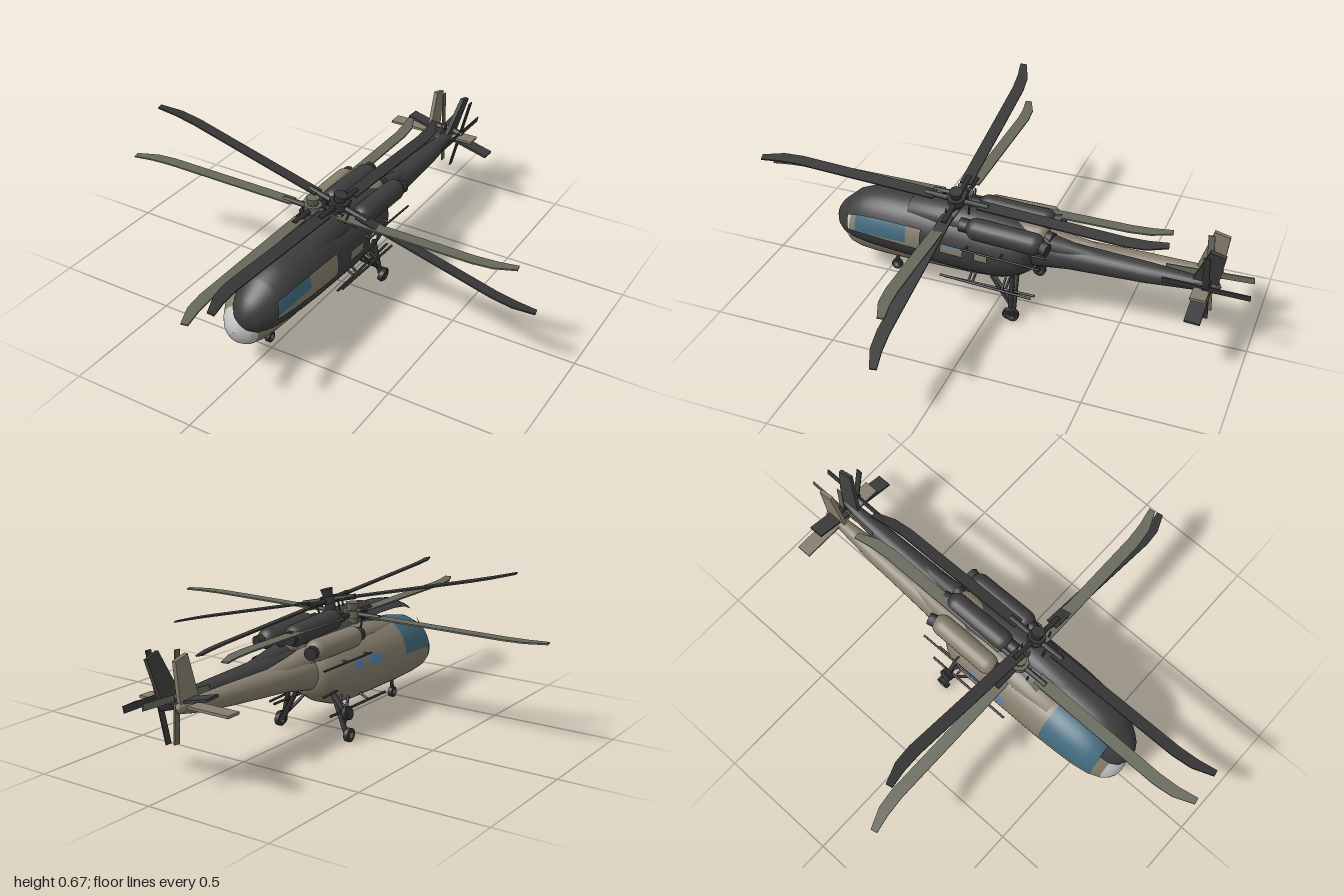
import * as THREE from 'three';

const mat = (name, color, side = THREE.FrontSide) =>
  Object.assign(new THREE.MeshStandardMaterial({ color, side }), { name });
const V = (x, y, z) => new THREE.Vector3(x, y, z);

function add(parent, name, geometry, material, x = 0, y = 0, z = 0) {
  const m = new THREE.Mesh(geometry, material);
  m.name = name;
  m.position.set(x, y, z);
  parent.add(m);
  return m;
}

// Round bar between two points
function rod(parent, name, a, b, r, material, r2 = r) {
  const d = b.clone().sub(a);
  const m = add(parent, name, new THREE.CylinderGeometry(r2, r, d.length(), 10), material);
  m.position.copy(a).addScaledVector(d, 0.5);
  m.quaternion.setFromUnitVectors(V(0, 1, 0), d.normalize());
}

// Skin through elliptical sections [z, centre y, half width, half height], front to back.
// pick(z, degrees) gives a material index per cell, or -1 for an opening.
function loft(sections, cuts, pick, count, seg = 48) {
  const zs = [...new Set([...sections.map(s => s[0]), ...cuts])].sort((a, b) => b - a);
  const pos = [], buckets = Array.from({ length: count }, () => []);
  for (const z of zs) {
    let k = 0;
    while (k < sections.length - 2 && sections[k + 1][0] > z) k++;
    const p = sections[k], q = sections[k + 1], t = (z - p[0]) / (q[0] - p[0]);
    const [cy, rx, ry] = [1, 2, 3].map(i => p[i] + (q[i] - p[i]) * t);
    for (let j = 0; j < seg; j++) {
      const a = j / seg * Math.PI * 2;
      pos.push(rx * Math.cos(a), cy + ry * Math.sin(a), z);
    }
  }
  for (let i = 0; i < zs.length - 1; i++) for (let j = 0; j < seg; j++) {
    const g = pick((zs[i] + zs[i + 1]) / 2, (j + 0.5) / seg * 360);
    if (g < 0) continue;
    const n = (j + 1) % seg, a = i * seg + j, b = i * seg + n, c = a + seg, d = b + seg;
    buckets[g].push(a, c, b, b, c, d);
  }
  const geo = new THREE.BufferGeometry();
  geo.setAttribute('position', new THREE.Float32BufferAttribute(pos, 3));
  geo.setIndex(buckets.flat());
  let start = 0;
  buckets.forEach((b, i) => { geo.addGroup(start, b.length, i); start += b.length; });
  geo.computeVertexNormals();
  return geo;
}

// Thin plate from an outline
function plate(points, depth) {
  const s = new THREE.Shape(points.map(p => new THREE.Vector2(...p)));
  return new THREE.ExtrudeGeometry(s, { depth, bevelEnabled: false }).translate(0, 0, -depth / 2);
}

function helicopter(c, open) {
  const g = new THREE.Group();

  // Cabin: windscreen, side windows and nose cap are cells of the skin
  const hull = [
    [0.69, 0.183, 0.001, 0.001], [0.685, 0.183, 0.03, 0.032], [0.67, 0.184, 0.055, 0.058],
    [0.645, 0.187, 0.076, 0.08], [0.6, 0.205, 0.099, 0.108], [0.54, 0.218, 0.112, 0.126],
    [0.46, 0.225, 0.12, 0.135], [0.35, 0.23, 0.126, 0.14], [0.1, 0.231, 0.128, 0.139],
    [-0.02, 0.235, 0.126, 0.133], [-0.09, 0.245, 0.117, 0.117], [-0.13, 0.253, 0.1, 0.098],
    [-0.16, 0.26, 0.075, 0.075], [-0.175, 0.262, 0.001, 0.001]];
  const cuts = [0.66, 0.625, 0.61, 0.57, 0.5, 0.42, 0.37, 0.28, 0.19, 0.15, 0.05, 0];
  const pick = (z, deg) => {
    const side = deg > 180 ? -1 : Math.min(deg, 180 - deg);
    if (z > 0.645) return 2;
    if (open && z > 0.28 && z < 0.61 && side > 0 && side < 37) return -1;
    if (!open && z > 0.37 && z < 0.61 && side > 0) return 1;
    if (((z > 0.1 && z < 0.19) || (z > 0 && z < 0.05)) && side > 7 && side < 23) return open ? -1 : 3;
    return 0;
  };
  add(g, 'cabin', loft(hull, cuts, pick, 4), [c.hull, c.glass, c.nose, c.window]);

  // Tail boom
  const boom = [[0, 0.255, 0.08, 0.09], [-0.15, 0.262, 0.066, 0.074], [-0.3, 0.27, 0.052, 0.053],
    [-0.6, 0.288, 0.042, 0.04], [-0.8, 0.302, 0.026, 0.027], [-0.87, 0.308, 0.016, 0.018],
    [-0.88, 0.308, 0.001, 0.001]];
  add(g, 'tailBoom', loft(boom, [], () => 0, 1, 24), [c.hull]);

  // Roof fairing and engine pods
  const roof = [[0.36, 0.33, 0.001, 0.001], [0.35, 0.33, 0.068, 0.048], [0.2, 0.335, 0.072, 0.055],
    [0, 0.33, 0.07, 0.055], [-0.2, 0.305, 0.045, 0.045], [-0.4, 0.285, 0.025, 0.04]];
  add(g, 'roofFairing', loft(roof, [], () => 0, 1, 24), [c.hull]);
  for (const s of [-1, 1]) {
    const pod = new THREE.CapsuleGeometry(0.043, 0.23, 6, 20).rotateX(Math.PI / 2);
    add(g, 'enginePod', pod, c.hull, s * 0.066, 0.362, -0.06);
    rod(g, 'engineIntake', V(s * 0.06, 0.36, 0.08), V(s * 0.06, 0.36, 0.125), 0.028, c.metal);
    rod(g, 'engineExhaust', V(s * 0.066, 0.362, -0.18), V(s * 0.08, 0.362, -0.235), 0.026, c.metal);
  }

  // Main rotor: mast, hub and four blades with swept tips
  const rotor = new THREE.Group();
  rotor.name = 'mainRotor';
  rotor.position.set(0, 0.425, 0.16);
  g.add(rotor);
  rod(rotor, 'mast', V(0, -0.07, 0), V(0, 0.02, 0), 0.022, c.blade);
  rod(rotor, 'hub', V(0, -0.013, 0), V(0, 0.016, 0), 0.036, c.blade);
  rod(rotor, 'hubCap', V(0, 0.016, 0), V(0, 0.046, 0), 0.02, c.blade, 0.027);
  const outline = [[0.09, -0.024], [0.67, -0.024], [0.75, -0.014], [0.83, 0.02], [0.825, 0.046],
    [0.75, 0.031], [0.67, 0.024], [0.09, 0.024]];
  for (let i = 0; i < 4; i++) {
    const arm = new THREE.Group();
    arm.name = 'bladeArm';
    arm.rotation.y = i * Math.PI / 2;
    rotor.add(arm);
    add(arm, 'blade', plate(outline, 0.006).rotateX(-Math.PI / 2), c.blade);
    rod(arm, 'bladeGrip', V(0.02, 0, 0), V(0.13, 0, 0), 0.011, c.metal);
    rod(arm, 'pitchLink', V(0.055, -0.045, 0.02), V(0.06, 0, 0.02), 0.004, c.metal);
  }

  // Fin, stabiliser and tail rotor
  const fin = plate([[0.765, 0.3], [0.865, 0.3], [0.885, 0.475], [0.825, 0.49]], 0.016);
  add(g, 'tailFin', fin.rotateY(Math.PI / 2), c.hull);
  add(g, 'stabiliser', new THREE.BoxGeometry(0.39, 0.01, 0.06), c.hull, 0, 0.31, -0.82);
  const tail = new THREE.Group();
  tail.name = 'tailRotor';
  tail.position.set(0.042, 0.33, -0.83);
  g.add(tail);
  rod(tail, 'tailRotorShaft', V(-0.045, 0, 0), V(0.01, 0, 0), 0.014, c.metal);
  for (let i = 0; i < 4; i++) {
    const b = add(tail, 'tailBlade', new THREE.BoxGeometry(0.005, 0.15, 0.025).translate(0, 0.09, 0), c.blade);
    b.rotation.x = i * Math.PI / 2 + 0.05;
  }

  // Landing gear
  const wheel = (x, z, r) => {
    const tyre = new THREE.CylinderGeometry(r, r, 0.018, 20).rotateZ(Math.PI / 2);
    add(g, 'wheel', tyre, c.metal, x, r, z);
    rod(g, 'wheelHub', V(x - 0.011, r, z), V(x + 0.011, r, z), r * 0.45, c.hull);
  };
  wheel(0, 0.47, 0.022);
  rod(g, 'noseStrut', V(0, 0.11, 0.46), V(0, 0.025, 0.47), 0.008, c.metal);
  for (const s of [-1, 1]) {
    wheel(s * 0.163, -0.1, 0.027);
    rod(g, 'mainStrut', V(s * 0.085, 0.165, -0.09), V(s * 0.15, 0.03, -0.1), 0.01, c.metal);
    rod(g, 'braceStrut', V(s * 0.09, 0.14, 0), V(s * 0.14, 0.05, -0.1), 0.006, c.metal);
    // Side rails with stand-offs
    rod(g, 'lowerRail', V(s * 0.132, 0.115, 0.2), V(s * 0.132, 0.115, -0.18), 0.005, c.metal);
    rod(g, 'upperRail', V(s * 0.131, 0.3, 0.1), V(s * 0.131, 0.3, -0.22), 0.004, c.metal);
    for (const z of [0.08, -0.06]) {
      rod(g, 'lowerStandOff', V(s * 0.08, 0.14, z), V(s * 0.132, 0.115, z), 0.005, c.metal);
      rod(g, 'upperStandOff', V(s * 0.08, 0.3, z), V(s * 0.131, 0.3, z), 0.004, c.metal);
    }
  }
  return g;
}

export function createModel() {
  const metal = mat('dark metal', 0x303032);
  const glass = mat('glass', 0x41697b);
  const window = mat('window', 0x5581b4);
  const charcoal = mat('charcoal', 0x3d3d3d);
  const tan = {
    hull: mat('tan', 0x857d6c), blade: mat('olive grey', 0x67685b),
    nose: mat('pale grey', 0xc2c2c2), glass, window, metal,
  };
  const dark = { hull: charcoal, blade: mat('dark grey', 0x373737), nose: charcoal, glass, window, metal };

  const model = new THREE.Group();
  model.name = 'helicopterPair';

  // Level aircraft
  const first = helicopter(tan, false);
  first.name = 'tanHelicopter';
  first.position.x = -0.028;
  model.add(first);

  // Banked aircraft, turned about its rotor hub
  const second = new THREE.Group();
  second.name = 'darkHelicopter';
  second.position.set(0.077, 0.468, 0.15);
  second.rotation.set(-0.05, 0, -0.245);
  const body = helicopter(dark, true);
  body.name = 'darkBody';
  body.position.set(0, -0.425, -0.16);
  second.add(body);
  model.add(second);
  return model;
}
